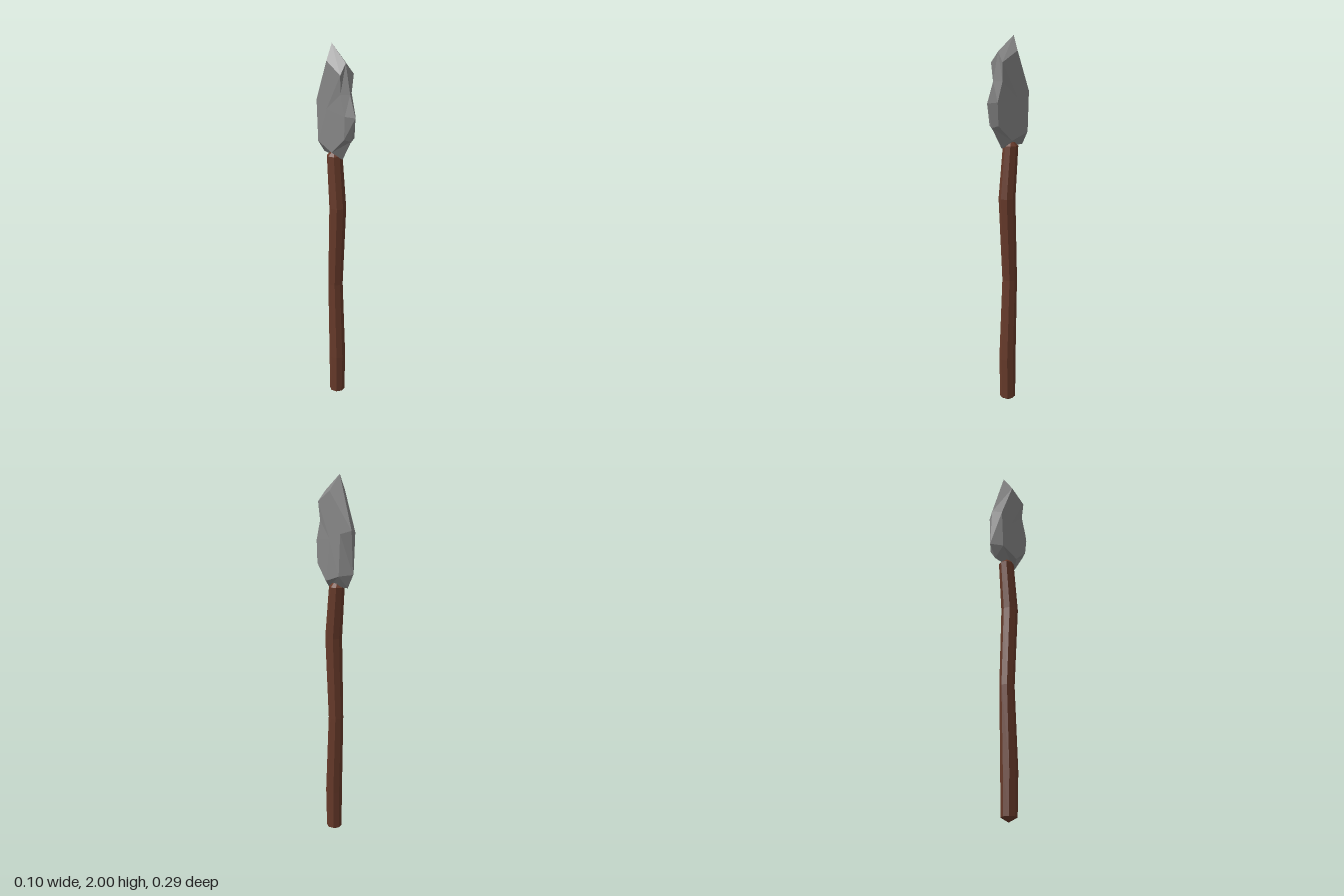
import * as THREE from 'three';

const stone = new THREE.MeshStandardMaterial({ color: 0x868686, flatShading: true });
stone.name = 'grey stone';
const wood = new THREE.MeshStandardMaterial({ color: 0x673a2a, flatShading: true });
wood.name = 'brown wood';

// Eight-sided shaft: lathe rings of [radius, height, z offset] give it a gentle wobble
function makeHandle() {
  const rings = [
    [0, 0, 0], [0.042, 0.025, 0.003], [0.045, 0.25, 0.005], [0.04, 0.7, -0.012],
    [0.045, 1.15, 0.008], [0.041, 1.43, -0.018], [0, 1.47, -0.018],
  ];
  const geo = new THREE.LatheGeometry(rings.map(([r, y]) => new THREE.Vector2(r, y)), 8);
  const pos = geo.attributes.position;
  for (let i = 0; i < pos.count; i++) pos.setZ(i, pos.getZ(i) + rings[i % rings.length][2]);
  geo.computeVertexNormals();
  const mesh = new THREE.Mesh(geo, wood);
  mesh.name = 'handle';
  return mesh;
}

// Chipped blade: a rim on the centre plane, bevelled to a raised face on each side
function makeBlade() {
  const rim = [ // [z, y]
    [-0.04, 2], [0.07, 1.915], [0.105, 1.765], [0.147, 1.655], [0.115, 1.53],
    [0.047, 1.42], [-0.105, 1.435], [-0.145, 1.51], [-0.132, 1.73],
  ];
  const face = [ // [x, z, y], matching the rim point by point
    [0.05, -0.02, 1.92], [0.043, 0.08, 1.86], [0.036, 0.073, 1.765], [0.034, 0.105, 1.66],
    [0.034, 0.1, 1.54], [0.047, 0.015, 1.46], [0.05, -0.092, 1.5], [0.05, -0.092, 1.5],
    [0.05, -0.103, 1.715],
  ];
  const verts = [];
  const tri = (side, a, b, c) => {
    for (const [x, z, y] of side > 0 ? [a, b, c] : [a, c, b]) verts.push(x * side, y, z);
  };
  const centre = [0.05, -0.02, 1.68];
  for (const side of [1, -1]) {
    rim.forEach((p, i) => {
      const j = (i + 1) % rim.length;
      const a = [0, ...p], b = [0, ...rim[j]];
      tri(side, a, b, face[j]);
      if (i !== 6) { // the lower back corner shares one face point
        tri(side, a, face[j], face[i]);
        tri(side, face[i], face[j], centre);
      }
    });
  }
  const geo = new THREE.BufferGeometry();
  geo.setAttribute('position', new THREE.Float32BufferAttribute(verts, 3));
  geo.computeVertexNormals();
  const mesh = new THREE.Mesh(geo, stone);
  mesh.name = 'spearhead';
  return mesh;
}

export function createModel() {
  const group = new THREE.Group();
  group.name = 'stone spear';
  group.add(makeHandle(), makeBlade());
  return group;
}
